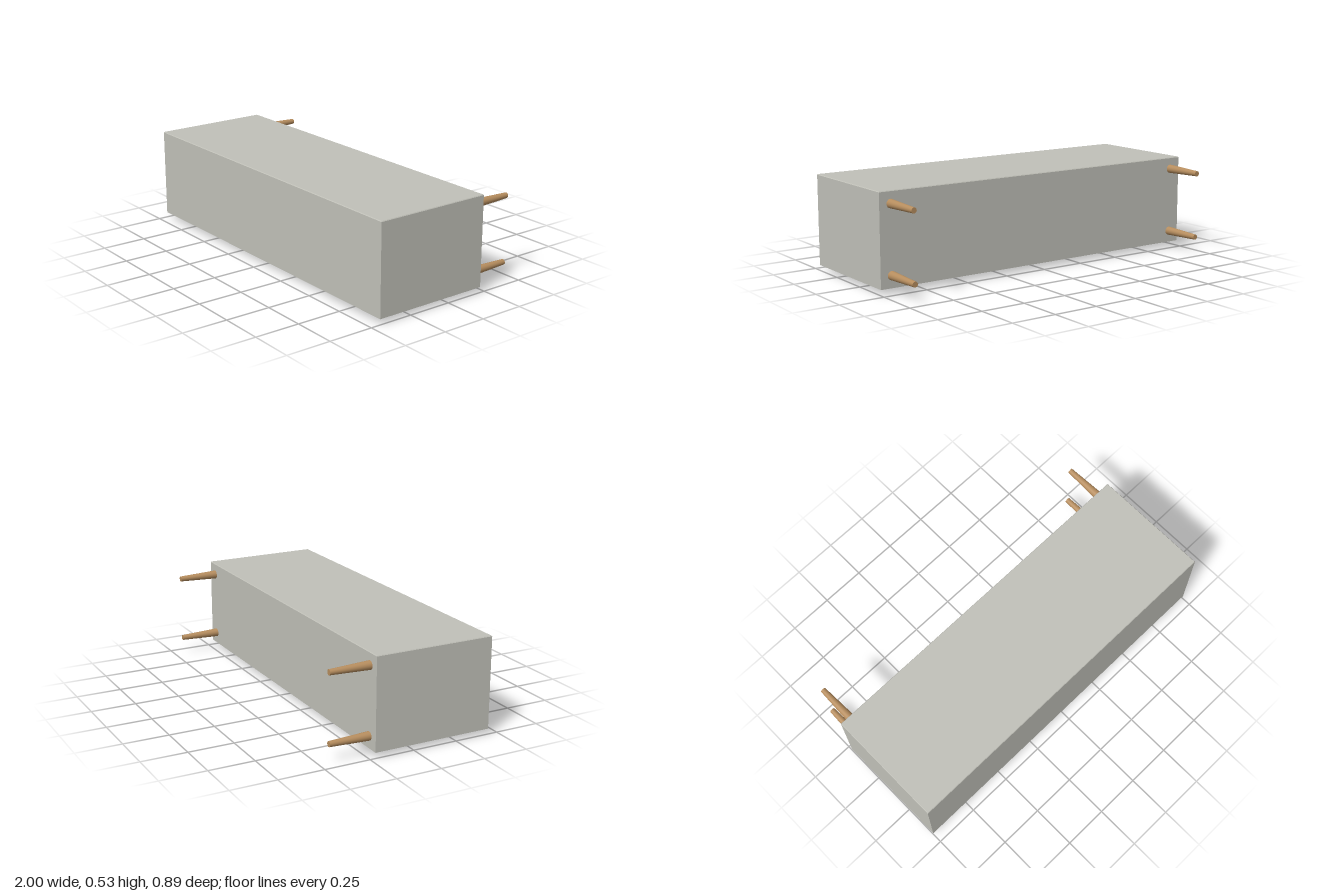
import * as THREE from 'three';

// Sideboard lying on its front: doors face down (-y), legs point to -z
const BOTTOM = 0.03, TOP = 0.53, Z0 = -0.22, Z1 = 0.445;
const RIM = 0.02, RECESS = 0.008, GAP = 0.004;

export function createModel() {
  const root = new THREE.Group();
  const grey = new THREE.MeshStandardMaterial({ color: 0xc0c0b8 });
  grey.name = 'grey paint';
  const wood = new THREE.MeshStandardMaterial({ color: 0xb68d5e });
  wood.name = 'wood';

  const add = (name, geometry, material, x = 0, y = 0, z = 0) => {
    const mesh = new THREE.Mesh(geometry, material);
    mesh.name = name;
    mesh.position.set(x, y, z);
    root.add(mesh);
    return mesh;
  };
  // Box given by its limits on each axis
  const block = (name, x0, x1, y0, y1, z0, z1) =>
    add(name, new THREE.BoxGeometry(x1 - x0, y1 - y0, z1 - z0), grey,
      (x0 + x1) / 2, (y0 + y1) / 2, (z0 + z1) / 2);
  const rectangle = (Type, w, h) => new Type([
    new THREE.Vector2(-w, -h), new THREE.Vector2(w, -h),
    new THREE.Vector2(w, h), new THREE.Vector2(-w, h),
  ]);

  // Cabinet walls as a hollow frame
  const midZ = (Z0 + Z1) / 2, halfZ = (Z1 - Z0) / 2;
  const outline = rectangle(THREE.Shape, 1, halfZ);
  outline.holes.push(rectangle(THREE.Path, 1 - RIM, halfZ - RIM));
  const walls = new THREE.ExtrudeGeometry(outline, { depth: TOP - BOTTOM - 0.004, bevelEnabled: false });
  walls.rotateX(-Math.PI / 2);
  add('cabinetWalls', walls, grey, 0, BOTTOM, midZ);

  // Back panel with a narrow chamfer around its outer face
  const back = new THREE.BoxGeometry(2, 0.004, 2 * halfZ);
  const p = back.attributes.position;
  for (let i = 0; i < p.count; i++) {
    if (p.getY(i) > 0) {
      p.setX(i, p.getX(i) - Math.sign(p.getX(i)) * 0.003);
      p.setZ(i, p.getZ(i) - Math.sign(p.getZ(i)) * 0.003);
    }
  }
  back.computeVertexNormals();
  add('backPanel', back, grey, 0, TOP - 0.002, midZ);

  // Inner board behind the gaps, then dividers, doors and drawers
  const panelY = BOTTOM + RECESS, boardY = panelY + 0.012;
  const inX = 1 - RIM, inZ0 = Z0 + RIM, inZ1 = Z1 - RIM;
  block('innerBoard', -inX, inX, boardY, boardY + 0.01, inZ0, inZ1);
  for (const s of [-1, 1]) {
    block('divider', s * 0.333 - 0.01, s * 0.333 + 0.01, panelY - 0.004, boardY, inZ0, inZ1);
    const a = s * (0.343 + GAP), b = s * (inX - GAP / 2);
    block('door', Math.min(a, b), Math.max(a, b), panelY, boardY, inZ0 + GAP / 2, inZ1 - GAP / 2);
  }
  const pitch = (inZ1 - inZ0) / 3;
  for (let i = 0; i < 3; i++) {
    const z = inZ0 + i * pitch;
    block('drawer', -0.323 + GAP, 0.323 - GAP, panelY, boardY, z + GAP / 2, z + pitch - GAP / 2);
  }

  // Round-ended knobs on the three drawers and two doors
  const knob = new THREE.LatheGeometry([
    [0, 0], [0.010, 0], [0.0135, 0.002], [0.0158, 0.006], [0.016, 0.012], [0.016, panelY],
  ].map(([r, y]) => new THREE.Vector2(r, y)), 24);
  for (const z of [-0.095, 0.113, 0.321]) add('drawerKnob', knob, wood, 0, 0, z);
  for (const x of [-0.4, 0.4]) add('doorKnob', knob, wood, x, 0, 0.312);

  // Tapered legs
  const leg = new THREE.CylinderGeometry(0.015, 0.024, 0.225, 24);
  leg.rotateX(-Math.PI / 2);
  for (const x of [-0.935, 0.935]) {
    for (const y of [0.096, 0.464]) add('leg', leg, wood, x, y, Z0 - 0.1125);
  }
  return root;
}
